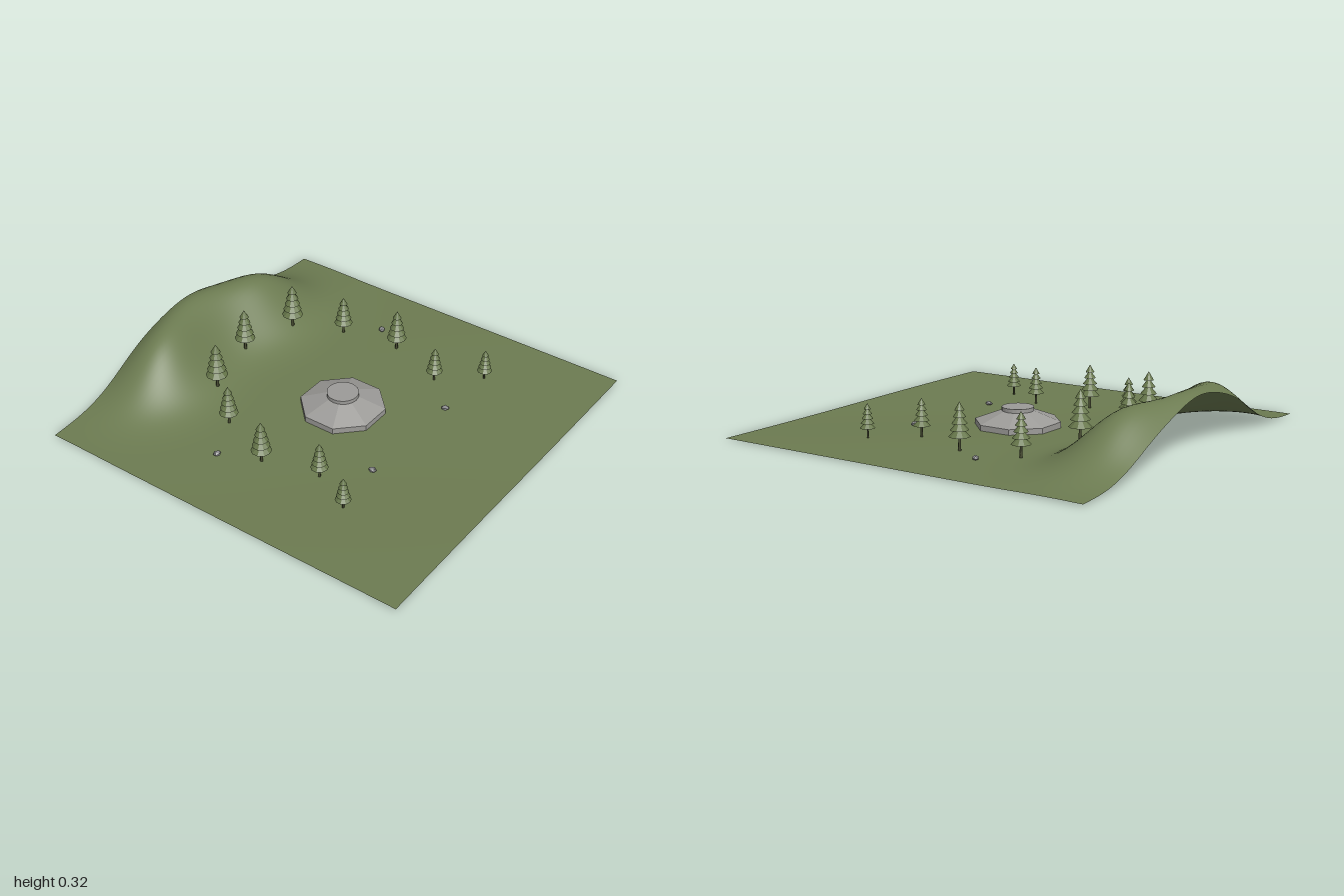
import * as THREE from 'three';

const mat = (name, color, extra = {}) => Object.assign(new THREE.MeshStandardMaterial({ color, ...extra }), { name });

// Rolling ground: three merged hills along the back edge
const hills = [
  { x: -0.38, z: -0.85, h: 0.2, w: 0.28 },
  { x: 0, z: -0.97, h: 0.24, w: 0.33 },
  { x: 0.4, z: -0.82, h: 0.22, w: 0.3 },
];
function groundHeight(x, z) {
  let y = 0.006 + 0.003 * Math.sin(x * 3) * Math.cos(z * 2.5);
  for (const p of hills) y += p.h * Math.exp(-(((x - p.x) / p.w) ** 2) - ((z - p.z) / 0.22) ** 2);
  return y;
}

function add(parent, name, geometry, material, x = 0, y = 0, z = 0) {
  const mesh = new THREE.Mesh(geometry, material);
  mesh.name = name;
  mesh.position.set(x, y, z);
  parent.add(mesh);
  return mesh;
}

function makeTree(height, leaf, bark) {
  const tree = new THREE.Group();
  tree.name = 'pineTree';
  add(tree, 'trunk', new THREE.CylinderGeometry(0.02 * height, 0.032 * height, 0.5 * height, 8), bark, 0, 0.25 * height, 0);
  // Five overlapping tiers that shrink towards the tip
  const tiers = 5;
  for (let i = 0; i < tiers; i++) {
    const t = i / (tiers - 1);
    const radius = (0.225 - 0.125 * t) * height;
    const tall = (0.22 - 0.05 * t) * height;
    const bottom = (0.29 + 0.54 * t) * height;
    add(tree, 'foliageTier', new THREE.ConeGeometry(radius, tall, 10), leaf, 0, bottom + tall / 2, 0);
  }
  return tree;
}

export function createModel() {
  const model = new THREE.Group();
  model.name = 'parkLandscape';
  const grass = mat('grassGreen', 0x6c7b51, { side: THREE.DoubleSide });
  const leaf = mat('pineGreen', 0x657549, { flatShading: true });
  const bark = mat('darkBark', 0x464a30);
  const stone = mat('paleStone', 0x9c9b98, { flatShading: true });
  const rock = mat('rockGrey', 0x8a8a8c, { flatShading: true });

  // Ground sheet
  const ground = new THREE.PlaneGeometry(2, 2, 80, 80).rotateX(-Math.PI / 2);
  const pos = ground.attributes.position;
  for (let i = 0; i < pos.count; i++) pos.setY(i, groundHeight(pos.getX(i), pos.getZ(i)));
  ground.computeVertexNormals();
  add(model, 'ground', ground, grass);

  // Octagonal pavilion
  const pavilion = new THREE.Group();
  pavilion.name = 'pavilion';
  const outer = 0.2 / Math.cos(Math.PI / 8);
  const octagon = (top, bottom, h) => new THREE.CylinderGeometry(top, bottom, h, 8).rotateY(Math.PI / 8);
  add(pavilion, 'wall', octagon(outer, outer, 0.03), stone, 0, 0.02, 0);
  add(pavilion, 'roof', octagon(0.085, outer, 0.05), stone, 0, 0.06, 0);
  add(pavilion, 'roofCap', new THREE.CylinderGeometry(0.08, 0.08, 0.024, 24), stone, 0, 0.092, 0);
  model.add(pavilion);

  // Trees in a horseshoe: x, z, height
  const trees = [
    [-0.27, -0.58, 0.25], [0.04, -0.65, 0.235], [0.35, -0.58, 0.245],
    [-0.425, -0.38, 0.215], [0.53, -0.38, 0.215],
    [-0.56, -0.07, 0.228], [0.575, -0.07, 0.23],
    [-0.49, 0.22, 0.192], [0.46, 0.24, 0.19],
    [-0.605, 0.44, 0.17], [0.62, 0.44, 0.17],
  ];
  for (const [x, z, h] of trees) {
    const tree = makeTree(h, leaf, bark);
    tree.position.set(x, groundHeight(x, z), z);
    model.add(tree);
  }

  // Scattered rocks
  const rocks = [[-0.65, -0.27], [0.665, -0.225], [-0.315, 0.4], [0.285, 0.42]];
  rocks.forEach(([x, z], i) => {
    const stoneMesh = add(model, 'rock', new THREE.IcosahedronGeometry(0.02, 0), rock, x, groundHeight(x, z) + 0.008, z);
    stoneMesh.scale.set(1.1, 0.6, 0.85);
    stoneMesh.rotation.y = i * 0.7;
  });
  return model;
}
